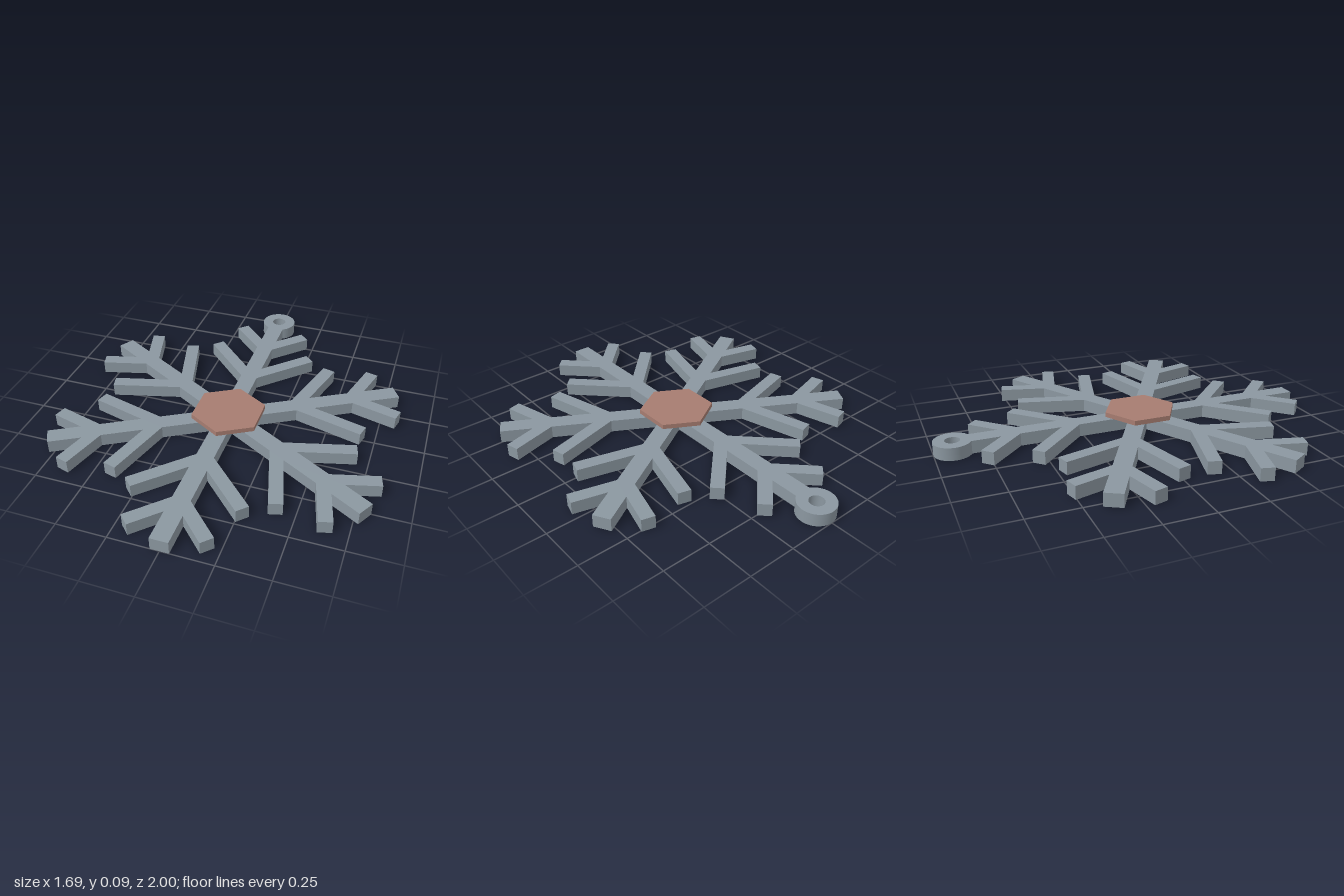
import * as THREE from 'three';

const THICK = 0.066;     // height of the arms and ring
const CENTRE_Z = 0.08;   // hub position; the hanging ring balances the far side
const ARM_LENGTH = 0.92;
const ARM_HALF = 0.045;
const BRANCH_HALF = 0.034;
// distance from the hub at which each pair of branches leaves, and sideways reach
const BRANCHES = [
  { start: 0.355, reach: 0.278 },
  { start: 0.662, reach: 0.193 },
];

// Extrude a plan shape upwards from y = 0 (shape +y becomes -z)
function slab(shape) {
  const geometry = new THREE.ExtrudeGeometry(shape, { depth: THICK, bevelEnabled: false, curveSegments: 64 });
  return geometry.rotateX(-Math.PI / 2);
}

// Outline of one arm: right side with 45 degree branches, mirrored to the left
function armShape() {
  const c = BRANCH_HALF * Math.SQRT1_2; // branch end corner offset
  const e = BRANCH_HALF * Math.SQRT2;   // branch edge offset along the arm
  const right = [[ARM_HALF, ARM_HALF * Math.sqrt(3)]];
  for (const { start, reach } of BRANCHES) {
    right.push(
      [ARM_HALF, start - e + ARM_HALF],
      [reach + c, start + reach - c],
      [reach - c, start + reach + c],
      [ARM_HALF, start + e + ARM_HALF],
    );
  }
  right.push([ARM_HALF, ARM_LENGTH]);
  const left = right.map(([x, y]) => [-x, y]).reverse();
  return new THREE.Shape([[0, 0], ...right, ...left].map(([x, y]) => new THREE.Vector2(x, y)));
}

export function createModel() {
  const grey = new THREE.MeshStandardMaterial({ color: 0x8b97a0 });
  grey.name = 'blueGrey';
  const clay = new THREE.MeshStandardMaterial({ color: 0xa67c70 });
  clay.name = 'clayRed';

  const model = new THREE.Group();
  model.name = 'snowflakeOrnament';

  const add = (name, geometry, material) => {
    const mesh = new THREE.Mesh(geometry, material);
    mesh.name = name;
    mesh.position.z = CENTRE_Z;
    model.add(mesh);
    return mesh;
  };

  // Six branching arms
  const armGeometry = slab(armShape());
  for (let i = 0; i < 6; i++) {
    add(`arm${i + 1}`, armGeometry, grey).rotation.y = (i * Math.PI) / 3;
  }

  // Hanging ring at the tip of the back arm
  const ring = new THREE.Shape().absarc(0, 0, 0.095, 0, Math.PI * 2, false);
  ring.holes.push(new THREE.Path().absarc(0, 0, 0.038, 0, Math.PI * 2, true));
  add('hangingRing', slab(ring), grey).position.z = -0.905;

  // Hexagonal plate on top of the hub
  const hexagon = new THREE.CylinderGeometry(0.194, 0.194, 0.025, 6).toNonIndexed();
  hexagon.computeVertexNormals();
  add('hexagonPlate', hexagon, clay).position.y = THICK + 0.0125;

  return model;
}
